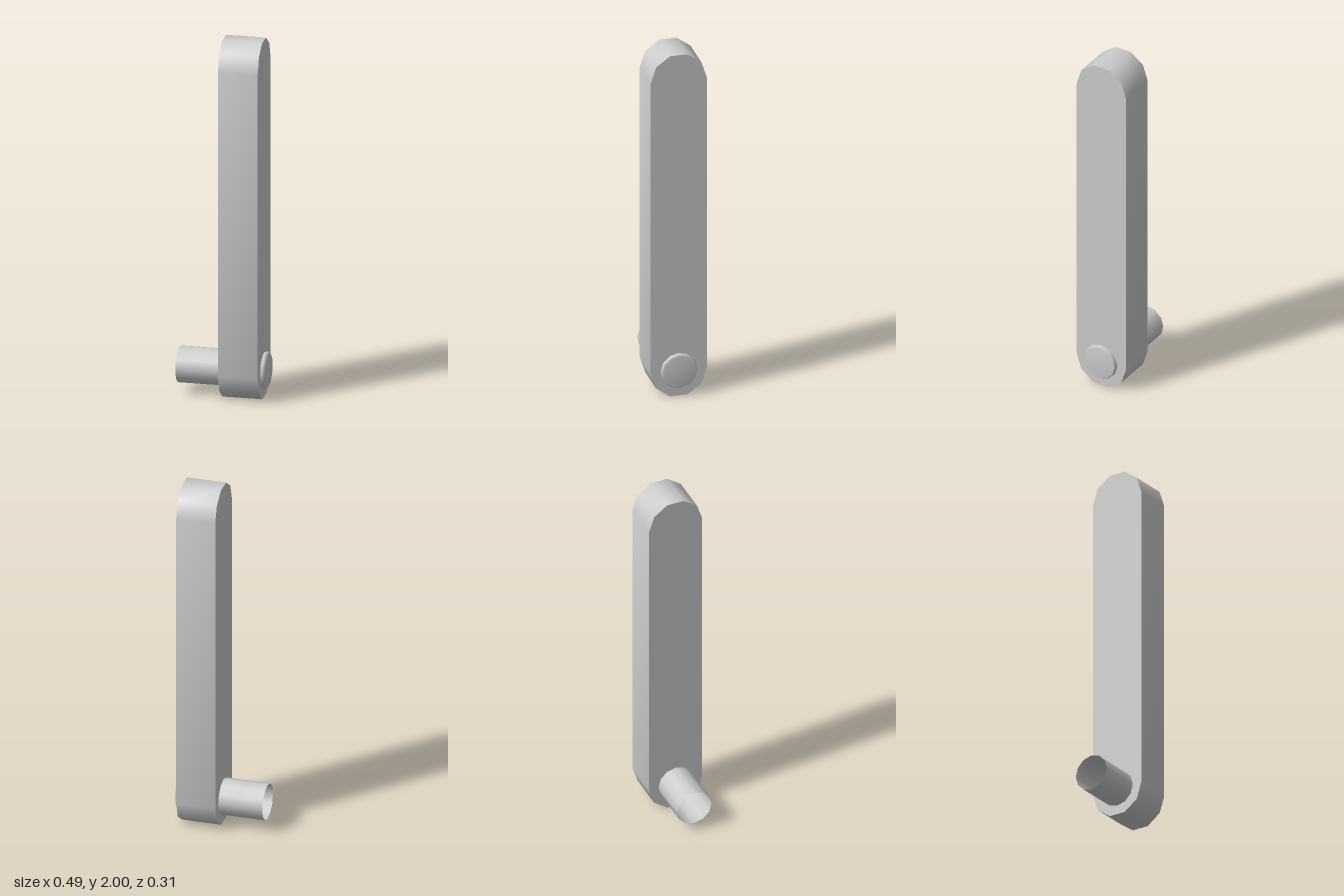
import * as THREE from 'three';
import { toCreasedNormals } from 'three/addons/utils/BufferGeometryUtils.js';

const ARM_RADIUS = 0.155, ARM_WIDTH = 0.217, ARM_ARC_STEPS = 5;
const PIN_RADIUS = 0.1, PIN_SIDES = 12, PIN_Y = 0.15;

export function createModel() {
  const group = new THREE.Group();
  const grey = new THREE.MeshStandardMaterial({ color: 0xcccccc });
  const greyOpen = new THREE.MeshStandardMaterial({ color: 0xcccccc, side: THREE.DoubleSide });

  const add = (name, geometry, material) => {
    const mesh = new THREE.Mesh(geometry, material);
    mesh.name = name;
    group.add(mesh);
    return mesh;
  };

  // Flat bar with faceted half-round ends, smooth around its edge
  const outline = [];
  for (const [centreY, start] of [[1.852, 0], [0.148, Math.PI]]) {
    for (let i = 0; i <= ARM_ARC_STEPS; i++) {
      const a = start + (i / ARM_ARC_STEPS) * Math.PI;
      outline.push(new THREE.Vector2(Math.cos(a) * ARM_RADIUS, centreY + Math.sin(a) * ARM_RADIUS));
    }
  }
  const bar = new THREE.ExtrudeGeometry(new THREE.Shape(outline), { depth: ARM_WIDTH, bevelEnabled: false });
  bar.rotateY(Math.PI / 2);
  add('arm', toCreasedNormals(bar, 0.8), grey);

  // Hollow pin, open at its outer end
  const length = 0.245;
  const pin = new THREE.CylinderGeometry(PIN_RADIUS, PIN_RADIUS, length, PIN_SIDES, 1, true);
  pin.rotateZ(-Math.PI / 2);
  add('pin', pin, greyOpen).position.set(-length / 2, PIN_Y, 0);

  // Chamfered pin head with softly shaded face
  const profile = [[PIN_RADIUS, 0.21], [PIN_RADIUS, 0.231], [0.091, 0.243], [0, 0.243]];
  const head = new THREE.LatheGeometry(profile.map(([r, x]) => new THREE.Vector2(r, x)), PIN_SIDES);
  head.rotateZ(-Math.PI / 2);
  add('pinHead', head, grey).position.y = PIN_Y;

  return group;
}
